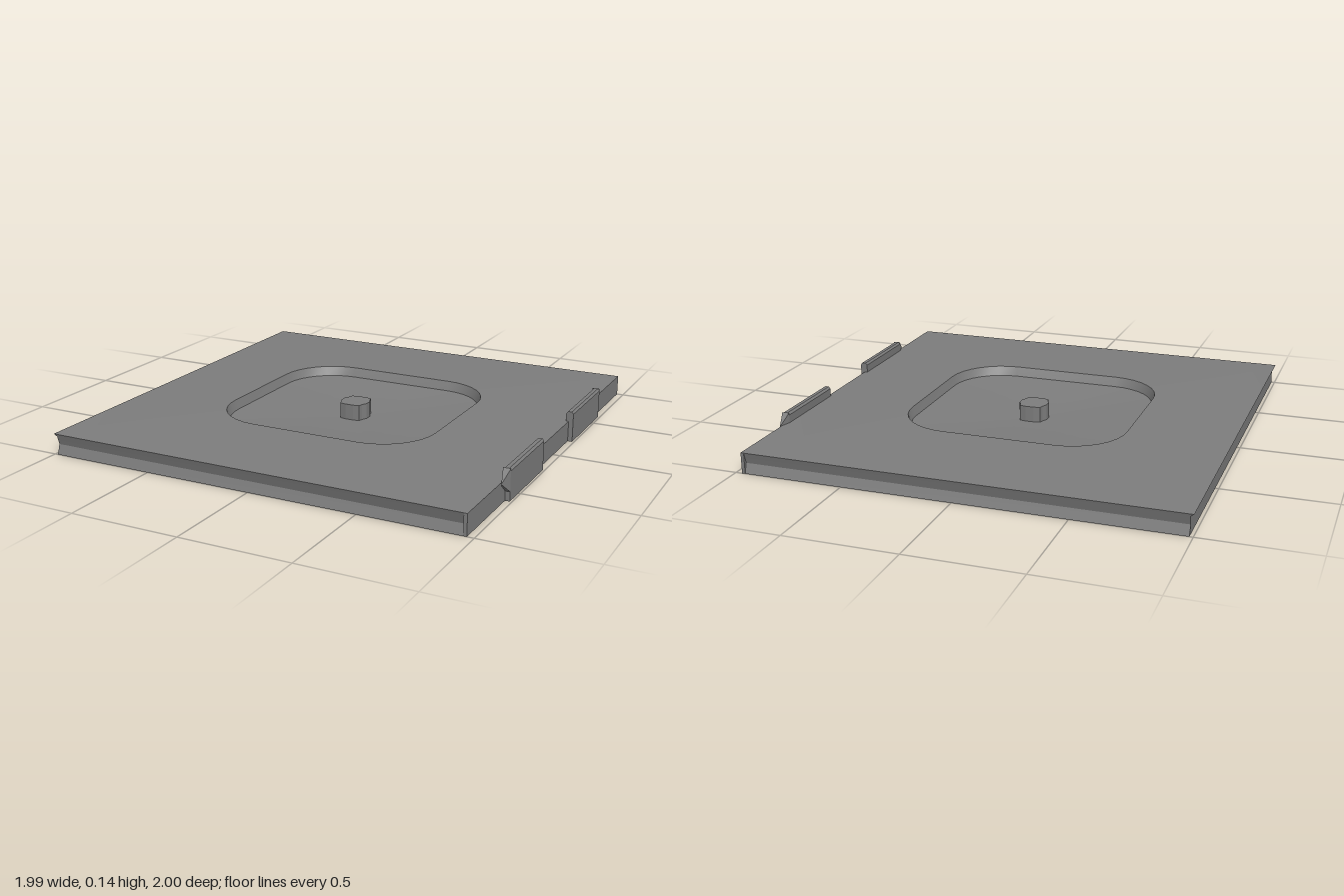
import * as THREE from 'three';
import { toCreasedNormals } from 'three/addons/utils/BufferGeometryUtils.js';

const SEG = 8; // segments per rounded corner

// Rounded rectangle loop at height y; r = 0 gives a sharp rectangle
function loop(x0, x1, z0, z1, y, r = 0) {
  const pts = [];
  const corners = [[x1 - r, z1 - r], [x0 + r, z1 - r], [x0 + r, z0 + r], [x1 - r, z0 + r]];
  corners.forEach(([cx, cz], k) => {
    for (let i = 0; i <= SEG; i++) {
      const a = (k + i / SEG) * Math.PI / 2;
      pts.push([cx + r * Math.cos(a), y, cz + r * Math.sin(a)]);
    }
  });
  return pts;
}

// Skin between consecutive loops, skipping collapsed triangles
function loft(loops) {
  const pos = [];
  const same = (p, q) => Math.hypot(p[0] - q[0], p[1] - q[1], p[2] - q[2]) < 1e-6;
  const tri = (a, b, c) => {
    if (!same(a, b) && !same(b, c) && !same(a, c)) pos.push(...a, ...b, ...c);
  };
  for (let i = 0; i + 1 < loops.length; i++) {
    const lo = loops[i], hi = loops[i + 1], n = lo.length;
    for (let j = 0; j < n; j++) {
      const k = (j + 1) % n;
      tri(lo[j], hi[j], lo[k]);
      tri(lo[k], hi[j], hi[k]);
    }
  }
  const g = new THREE.BufferGeometry();
  g.setAttribute('position', new THREE.Float32BufferAttribute(pos, 3));
  return toCreasedNormals(g, 0.5);
}

export function createModel() {
  const model = new THREE.Group();
  const mat = new THREE.MeshStandardMaterial({ color: 0x7d7d7d });
  const add = (name, geo, x = 0, y = 0, z = 0, parent = model) => {
    const m = new THREE.Mesh(geo, mat);
    m.name = name;
    m.position.set(x, y, z);
    parent.add(m);
    return m;
  };

  // Slab: underside, V-grooved edges with top lip, gently domed top, recessed basin
  const cx = -0.015;
  add('slab', loft([
    loop(cx, cx, 0, 0, 0),
    loop(-0.985, 0.968, -1, 1, 0),
    loop(-0.985, 0.968, -0.985, 0.985, 0.045),
    loop(-0.985, 0.968, -0.996, 0.996, 0.083),
    loop(-1, 0.968, -1, 1, 0.095),
    loop(-0.532, 0.506, -0.498, 0.506, 0.104, 0.26),
    loop(-0.518, 0.492, -0.48, 0.488, 0.06, 0.245),
    loop(cx - 0.06, cx + 0.06, -0.06, 0.06, 0.033, 0.02),
    loop(cx, cx, 0, 0, 0.033),
  ]));

  // Flat end strip closing the side that carries the clips
  add('endStrip', new THREE.BoxGeometry(0.015, 0.095, 2), 0.9625, 0.0475, 0);

  // Central boss: a block with slightly bulging sides
  const s = new THREE.Shape();
  const outline = [[0.05, 0.062], [0.055, 0.04], [0.067, 0.018], [0.067, -0.018], [0.055, -0.04],
    [0.05, -0.062], [0.02, -0.068], [-0.02, -0.068], [-0.05, -0.062], [-0.055, -0.04],
    [-0.067, -0.018], [-0.067, 0.018], [-0.055, 0.04], [-0.05, 0.062], [-0.02, 0.068], [0.02, 0.068]];
  s.setFromPoints(outline.map(([x, y]) => new THREE.Vector2(x, y)));
  const boss = new THREE.ExtrudeGeometry(s, { depth: 0.08, bevelEnabled: false });
  boss.rotateX(-Math.PI / 2);
  add('boss', boss, cx, 0.027, 0);

  // Pair of upright clips with rounded tops and pointed outer ends
  const section = new THREE.Shape();
  [[-0.017, 0], [0.017, 0], [0.017, 0.132], [0.009, 0.142], [-0.009, 0.142], [-0.017, 0.132]]
    .forEach(([x, y], i) => (i ? section.lineTo(x, y) : section.moveTo(x, y)));
  const bar = new THREE.ExtrudeGeometry(section, { depth: 0.4, bevelEnabled: false });
  bar.translate(0, 0, -0.2);
  for (const side of [1, -1]) {
    const clip = new THREE.Group();
    clip.name = side > 0 ? 'frontClip' : 'backClip';
    clip.position.set(0.974, 0, side * 0.4);
    add('clipBar', bar, 0, 0, 0, clip);
    const tip = new THREE.ConeGeometry(Math.SQRT1_2, 0.06, 4, 1).toNonIndexed();
    tip.rotateY(Math.PI / 4);
    tip.rotateX(side * Math.PI / 2);
    tip.scale(0.034, 0.1, 1);
    tip.computeVertexNormals();
    add('clipTip', tip, 0, 0.092, side * 0.23, clip);
    model.add(clip);
  }
  return model;
}
